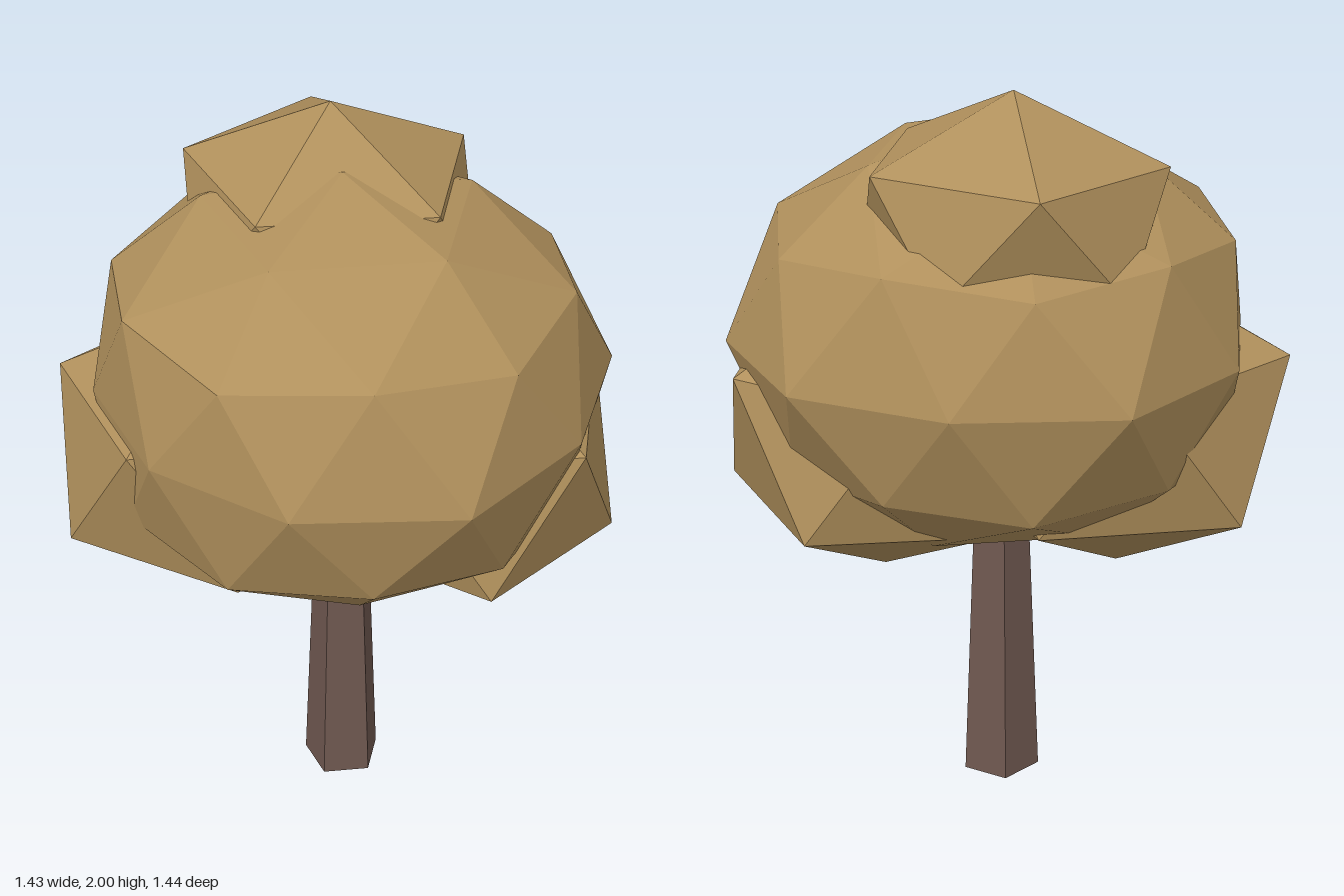
import * as THREE from 'three';
import { ConvexGeometry } from 'three/addons/geometries/ConvexGeometry.js';

const FIFTH = (Math.PI * 2) / 5;

// Five points around the y axis, starting at +x (offset = turn in fifths)
function ring(radius, y, offset = 0) {
  return Array.from({ length: 5 }, (_, i) => {
    const a = (i + offset) * FIFTH;
    return new THREE.Vector3(radius * Math.cos(a), y, radius * Math.sin(a));
  });
}

// Unit icosahedron points with a corner at each pole
function clumpPoints() {
  return [
    new THREE.Vector3(0, 1, 0), ...ring(0.894, 0.447),
    ...ring(0.894, -0.447, 0.5), new THREE.Vector3(0, -1, 0),
  ];
}

// Squashed faceted ball, slightly flattened on the -x side
function crownPoints() {
  const pts = [new THREE.Vector3(0, 0.585, 0), new THREE.Vector3(0, -0.585, 0)];
  for (const s of [1, -1]) {
    const turn = s > 0 ? 0 : 0.5;
    pts.push(...ring(0.365, s * 0.485, turn));
    pts.push(...ring(0.61, s * 0.275, turn));
    pts.push(...ring(0.595, s * 0.31, turn + 0.5));
  }
  // Waist: ten corners, pulled in on the diagonals and at -x
  for (let i = 0; i < 10; i++) {
    const a = (i + 0.5) * FIFTH / 2;
    const c = Math.cos(a);
    const r = c < -0.9 ? 0.65 : Math.abs(Math.abs(c) - 0.588) < 0.01 ? 0.68 : 0.72;
    pts.push(new THREE.Vector3(r * c, 0, r * Math.sin(a)));
  }
  return pts;
}

export function createModel() {
  const model = new THREE.Group();
  model.name = 'tree';
  const leaf = new THREE.MeshStandardMaterial({ color: 0xb0905c, flatShading: true });
  const bark = new THREE.MeshStandardMaterial({ color: 0x6f5850, flatShading: true });

  const add = (name, geometry, material, x, y, z) => {
    const mesh = new THREE.Mesh(geometry, material);
    mesh.name = name;
    mesh.position.set(x, y, z);
    model.add(mesh);
    return mesh;
  };

  // Tapered five-sided trunk
  const trunk = new THREE.CylinderGeometry(0.076, 0.11, 0.86, 5).rotateY(Math.PI / 2);
  add('trunk', trunk, bark, 0, 0.43, 0);

  // Main crown
  add('crown', new ConvexGeometry(crownPoints()), leaf, 0, 1.315, 0);

  // Smaller leaf clumps poking out of the crown
  const clump = new ConvexGeometry(clumpPoints());
  add('topClump', clump, leaf, 0.055, 1.69, -0.19).scale.set(0.43, 0.31, 0.45);
  add('frontLeftClump', clump, leaf, 0.3, 1.067, 0.1).scale.set(0.46, 0.42, 0.51);
  add('backRightClump', clump, leaf, -0.27, 1.085, -0.17).scale.set(0.505, 0.43, 0.48);

  return model;
}
